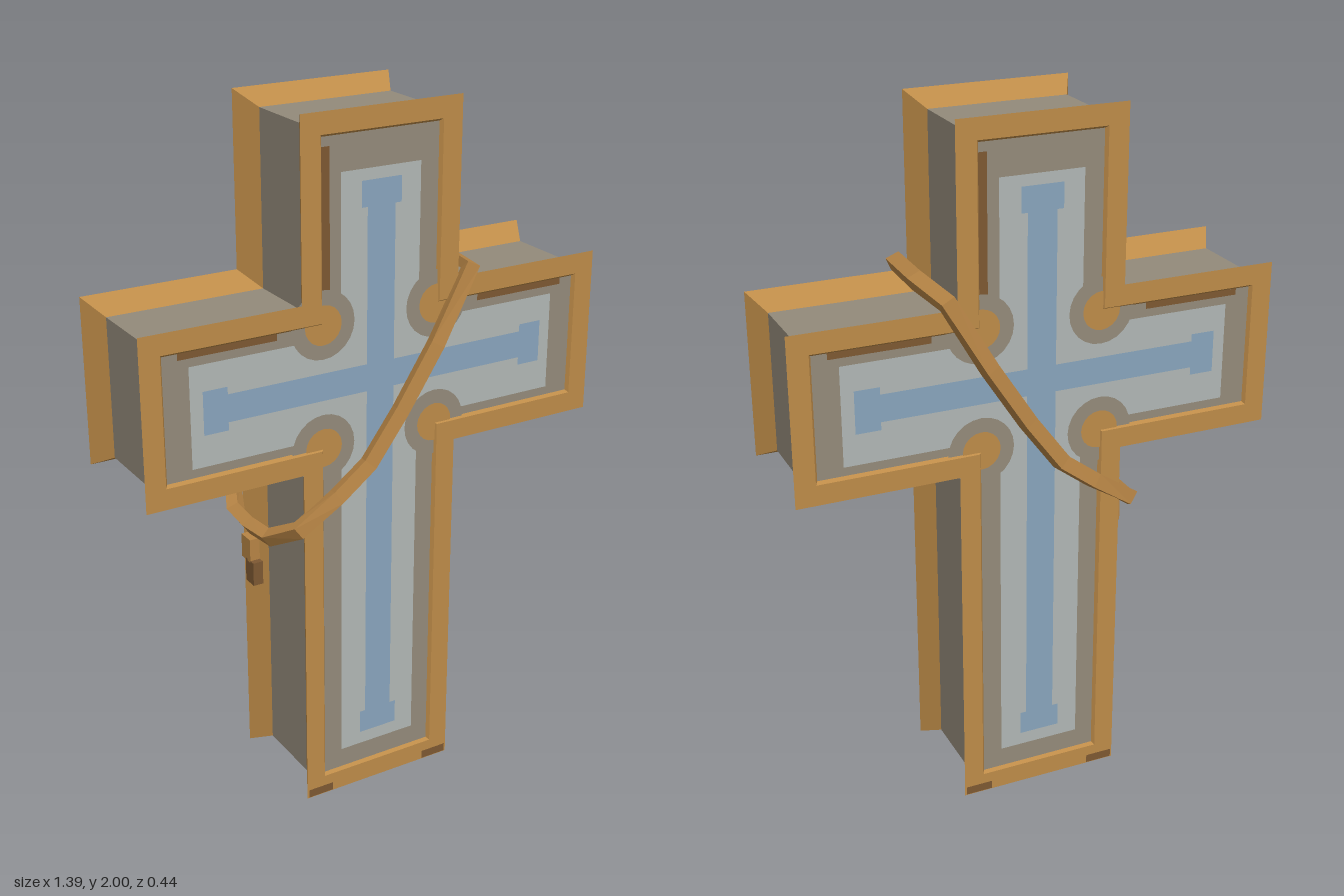
import * as THREE from 'three';

const mat = (name, color, side = THREE.FrontSide) => {
  const m = new THREE.MeshStandardMaterial({ color, side });
  m.name = name;
  return m;
};

// twelve corners of a cross, counter-clockwise seen from the front
const crossCorners = (a, e, b0, b1, h0, h1) => [
  [-a, b0], [a, b0], [a, h0], [e, h0], [e, h1], [a, h1],
  [a, b1], [-a, b1], [-a, h1], [-e, h1], [-e, h0], [-a, h0],
];
const insetCross = (i) => crossCorners(0.24 - i, 0.697 - i, i, 2 - i, 1.035 + i, 1.51 - i);
const toShape = (pts) => new THREE.Shape(pts.map(([x, y]) => new THREE.Vector2(x, y)));

// joins closed rings of Vector3 with flat quads
function loft(rings, closed = false) {
  const pos = [];
  const last = closed ? rings.length : rings.length - 1;
  for (let r = 0; r < last; r++) {
    const A = rings[r], B = rings[(r + 1) % rings.length];
    A.forEach((p, i) => {
      const j = (i + 1) % A.length;
      for (const v of [p, B[i], B[j], p, B[j], A[j]]) pos.push(v.x, v.y, v.z);
    });
  }
  const g = new THREE.BufferGeometry();
  g.setAttribute('position', new THREE.Float32BufferAttribute(pos, 3));
  g.computeVertexNormals();
  return g;
}
const ring = (inset, z) => insetCross(inset).map(([x, y]) => new THREE.Vector3(x, y, z));

export function createModel() {
  const model = new THREE.Group();
  model.name = 'wrappedCross';
  const bronze = mat('bronze', 0xbd8b48);
  const darkBronze = mat('dark bronze', 0x7d5832);
  const stone = mat('stone', 0x938a7a);
  const paleStone = mat('pale stone', 0xb0b6b4);
  const blue = mat('blue inlay', 0x88a4bc);

  const add = (parent, name, geo, material, x = 0, y = 0, z = 0) => {
    const m = new THREE.Mesh(geo, material);
    m.name = name;
    m.position.set(x, y, z);
    parent.add(m);
    return m;
  };

  // stone core between the two frames
  add(model, 'core', loft([ring(0.04, 0.105), ring(0.04, -0.105)]), stone);

  // one decorated face with its flared frame, used front and back
  const makeFace = (name) => {
    const face = new THREE.Group();
    face.name = name;
    add(face, 'flaredFrame',
      loft([ring(0.065, 0.17), ring(0.058, 0.18), ring(0, 0.18), ring(0.04, 0.105)]), bronze);
    add(face, 'panel', new THREE.ShapeGeometry(toShape(insetCross(0.06))), stone, 0, 0, 0.17);
    add(face, 'paleBand', new THREE.ShapeGeometry(
      toShape(crossCorners(0.12, 0.56, 0.125, 1.84, 1.125, 1.405))), paleStone, 0, 0, 0.172);

    // rounded ornaments at the inner corners
    for (const x of [-0.175, 0.175]) for (const y of [1.1, 1.445]) {
      add(face, 'cornerRing', new THREE.CircleGeometry(0.095, 24), stone, x, y, 0.1735);
      add(face, 'cornerBoss', new THREE.CircleGeometry(0.055, 20), bronze, x, y, 0.1755);
    }

    // blue inlay cross with knobbed ends
    add(face, 'inlay', new THREE.ShapeGeometry(
      toShape(crossCorners(0.042, 0.5, 0.17, 1.8, 1.235, 1.312))), blue, 0, 0, 0.1745);
    for (const y of [0.2, 1.775])
      add(face, 'inlayKnob', new THREE.PlaneGeometry(0.12, 0.07), blue, 0, y, 0.175);
    for (const x of [-0.49, 0.49])
      add(face, 'inlayKnob', new THREE.PlaneGeometry(0.07, 0.12), blue, x, 1.273, 0.175);

    // dark tarnish along the frame
    add(face, 'tarnish', new THREE.PlaneGeometry(0.03, 0.42), darkBronze, -0.168, 1.7, 0.1725);
    for (const x of [-0.45, 0.45])
      add(face, 'tarnish', new THREE.PlaneGeometry(0.28, 0.018), darkBronze, x, 1.437, 0.1725);
    for (const s of [-1, 1])
      add(face, 'tarnish', new THREE.PlaneGeometry(0.08, 0.025), darkBronze, s * 0.195, 0.015, 0.1815);
    model.add(face);
    return face;
  };
  makeFace('frontFace');
  makeFace('backFace').rotation.y = Math.PI;

  // strap: closed loop running diagonally round the cross
  const half = [
    [0.283, 1.54, 0], [0.272, 1.535, 0.19], [0.16, 1.34, 0.2], [0.05, 1.17, 0.2], [-0.05, 1.035, 0.2],
    [-0.15, 0.96, 0.2], [-0.265, 0.885, 0.193], [-0.305, 0.835, 0.1], [-0.31, 0.83, 0],
  ].map((p) => new THREE.Vector3(...p));
  const back = half.slice(1, -1).reverse().map((p) => new THREE.Vector3(p.x, p.y, -p.z));
  const path = [...half, ...back];
  const across = new THREE.Vector3(0.77, -0.63, 0);
  const section = [[0.022, 0.014], [0.012, -0.025], [-0.022, -0.014], [-0.012, 0.025]];
  const rings = path.map((p, i) => {
    const n = path.length;
    const t = path[(i + 1) % n].clone().sub(path[(i + n - 1) % n]).normalize();
    const w = across.clone().addScaledVector(t, -across.dot(t)).normalize();
    const out = new THREE.Vector3().crossVectors(t, w);
    return section.map(([u, v]) => p.clone().addScaledVector(out, u).addScaledVector(w, v));
  });
  const strapMat = mat('strap bronze', 0xb68445, THREE.DoubleSide);
  add(model, 'strap', loft(rings, true), strapMat);

  // short loose end hanging below the strap
  const tail = new THREE.Group();
  tail.name = 'strapEnd';
  add(tail, 'strapEndUpper', new THREE.BoxGeometry(0.03, 0.07, 0.05), strapMat, -0.307, 0.757, -0.01);
  add(tail, 'strapEndLower', new THREE.BoxGeometry(0.03, 0.07, 0.045), darkBronze, -0.307, 0.692, 0.01);
  model.add(tail);

  return model;
}
